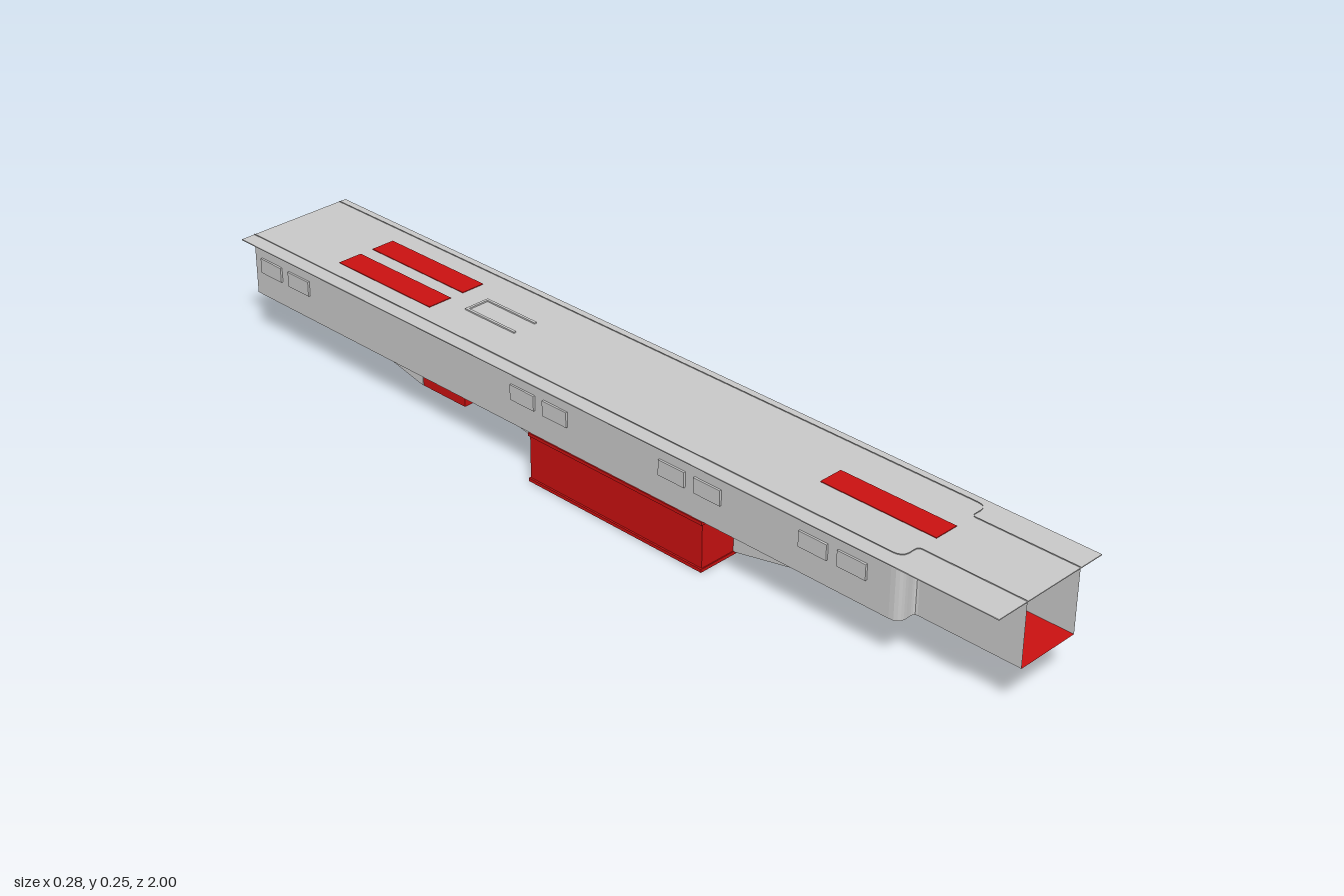
import * as THREE from 'three';

const CX = 0.0075; // hull axis sits slightly off the deck centre
const grey = new THREE.MeshStandardMaterial({ color: 0xcccccc, side: THREE.DoubleSide, flatShading: true });
const red = new THREE.MeshStandardMaterial({ color: 0xcc1111, side: THREE.DoubleSide, flatShading: true });

export function createModel() {
  const model = new THREE.Group();

  const add = (name, geometry, material) => {
    const mesh = new THREE.Mesh(geometry, material);
    mesh.name = name;
    model.add(mesh);
    return mesh;
  };
  // Box given by its ranges on each axis
  const box = (name, material, [x0, x1], [y0, y1], [z0, z1]) => {
    const mesh = add(name, new THREE.BoxGeometry(x1 - x0, y1 - y0, z1 - z0), material);
    mesh.position.set((x0 + x1) / 2, (y0 + y1) / 2, (z0 + z1) / 2);
    return mesh;
  };
  // Side profile of [z, y] points extruded across the x range
  const beam = (name, material, [x0, x1], points) => {
    const shape = new THREE.Shape(points.map(([z, y]) => new THREE.Vector2(-z, y)));
    const geometry = new THREE.ExtrudeGeometry(shape, { depth: x1 - x0, bevelEnabled: false });
    geometry.rotateY(Math.PI / 2);
    geometry.translate(x0, 0, 0);
    return add(name, geometry, material);
  };

  // Flat flight deck
  box('deck', grey, [-0.14, 0.14], [0.243, 0.245], [-1, 1]);

  // Half plan of the hull: narrow bow, rounded shoulder, wide body
  const shoulder = new THREE.CubicBezierCurve(
    new THREE.Vector2(0.0725, 0.775), new THREE.Vector2(0.0725, 0.755),
    new THREE.Vector2(0.115, 0.785), new THREE.Vector2(0.115, 0.745));
  const plan = [new THREE.Vector2(0.0725, 1), ...shoulder.getPoints(10), new THREE.Vector2(0.115, -1)];

  // Hull side walls, their tops just breaking through the deck
  for (const side of [1, -1]) {
    const positions = [], index = [];
    plan.forEach((p, i) => {
      positions.push(CX + side * p.x, 0.11, p.y, CX + side * p.x, 0.247, p.y);
      if (i) index.push(2 * i - 2, 2 * i, 2 * i - 1, 2 * i, 2 * i + 1, 2 * i - 1);
    });
    const wall = new THREE.BufferGeometry();
    wall.setAttribute('position', new THREE.Float32BufferAttribute(positions, 3));
    wall.setIndex(index);
    wall.computeVertexNormals();
    add(side > 0 ? 'leftHullWall' : 'rightHullWall', wall, grey);
  }

  // Hull floor following the same plan
  const outline = [
    ...plan.map((p) => new THREE.Vector2(CX + p.x, -p.y)),
    ...plan.slice().reverse().map((p) => new THREE.Vector2(CX - p.x, -p.y)),
  ];
  const floor = new THREE.ShapeGeometry(new THREE.Shape(outline));
  floor.rotateX(-Math.PI / 2);
  add('hullFloor', floor, red).position.y = 0.11;

  // Interior bulkhead with a sloping chute in front of it
  box('bulkhead', red, [-0.107, 0.122], [0.11, 0.243], [0.49, 0.495]);
  beam('innerChute', grey, [-0.02, 0.035], [[0.5, 0.112], [0.56, 0.168], [0.5, 0.168]]);

  // Deck hatches
  const centre = [-0.02, 0.035];
  const pair = [[-0.067, -0.01], [0.022, 0.077]];
  box('frontHatch', red, centre, [0.244, 0.2465], [0.505, 0.77]);
  for (const x of pair) box('rearHatch', red, x, [0.244, 0.2465], [-0.77, -0.49]);

  // U-shaped rim on the deck, open to the front
  for (const x of centre) box('rimSide', grey, [x - 0.003, x + 0.003], [0.244, 0.248], [-0.43, -0.29]);
  box('rimEnd', grey, [-0.023, 0.038], [0.244, 0.248], [-0.433, -0.427]);

  // Pairs of windows along the right wall
  for (const z of [-0.9, -0.13, 0.27, 0.615]) {
    for (const dz of [-0.045, 0.045]) {
      box('window', grey, [-0.112, -0.105], [0.165, 0.198], [z + dz - 0.033, z + dz + 0.033]);
    }
  }

  // Lower pod with flanges at top and bottom
  box('pod', red, [-0.105, 0.121], [0.002, 0.11], [-0.16, 0.3]);
  for (const y of [0, 0.102]) {
    box('podFlange', red, [-0.109, 0.126], [y, y + 0.007], [-0.162, 0.302]);
  }

  // Small rear pod
  box('rearPod', red, [-0.065, 0.08], [0.055, 0.11], [-0.52, -0.395]);

  // Sloping shafts joining pods and hull
  beam('frontShaft', grey, centre, [[0.77, 0.109], [0.51, 0.109], [0.3, 0.06], [0.3, 0.005], [0.75, 0.1]]);
  beam('middleShaft', grey, centre, [[-0.16, 0.06], [-0.395, 0.105], [-0.395, 0.056], [-0.16, 0.012]]);
  for (const x of pair) {
    beam('rearShaft', grey, x, [[-0.52, 0.109], [-0.77, 0.109], [-0.52, 0.056]]);
  }

  return model;
}
